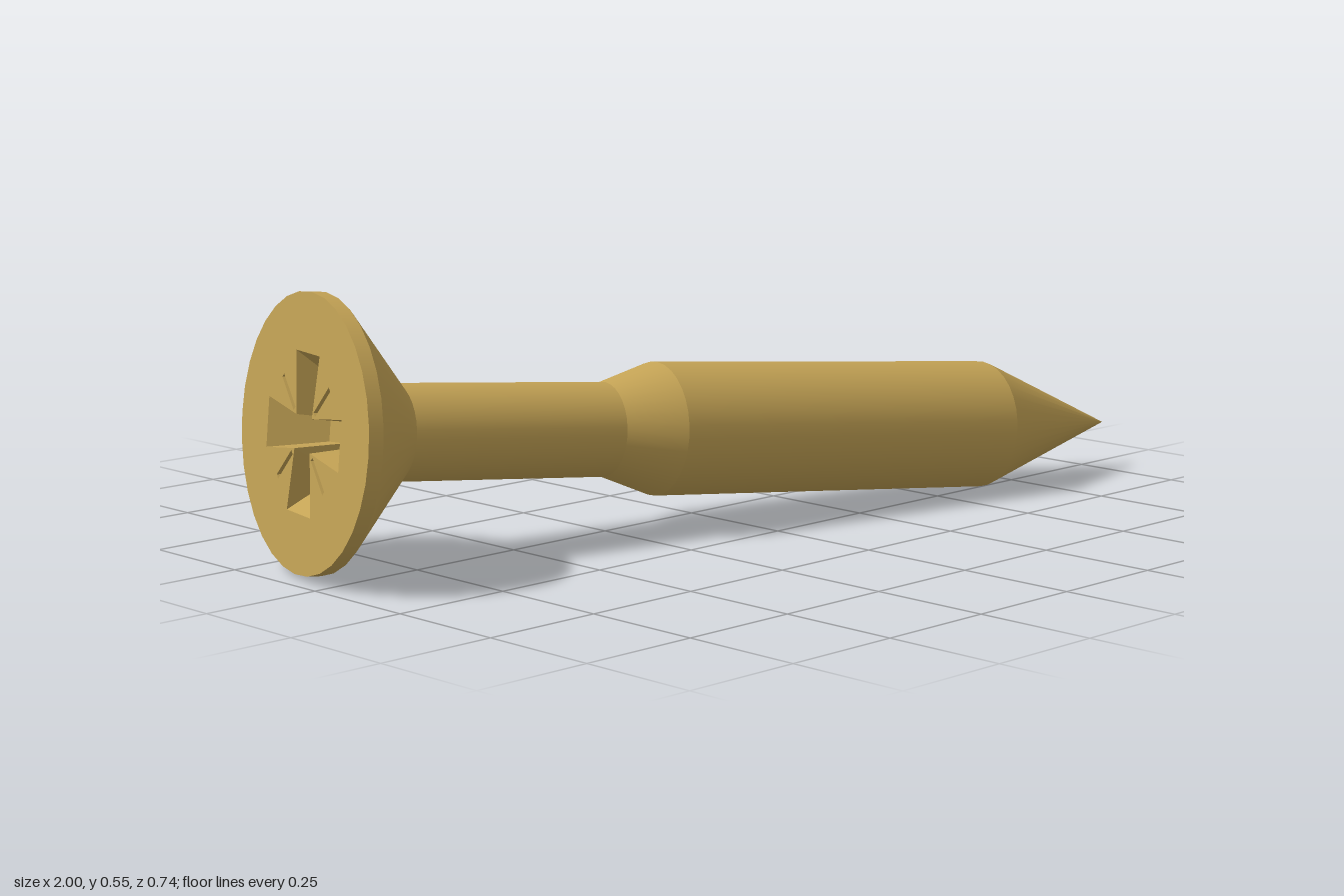
import * as THREE from 'three';
import { mergeGeometries } from 'three/addons/utils/BufferGeometryUtils.js';

const SEGMENTS = 32;

// Pocket below an outline: walls from the top outline to the bottom one, plus a floor
function pocket(top, bottom, depth) {
  const p = [];
  top.forEach((a, i) => {
    const j = (i + 1) % top.length, b = top[j], c = bottom[j], d = bottom[i];
    p.push(a.x, a.y, 0, b.x, b.y, 0, c.x, c.y, -depth);
    p.push(a.x, a.y, 0, c.x, c.y, -depth, d.x, d.y, -depth);
  });
  const walls = new THREE.BufferGeometry();
  walls.setAttribute('position', new THREE.Float32BufferAttribute(p, 3));
  walls.computeVertexNormals();
  const floor = new THREE.ShapeGeometry(new THREE.Shape(bottom)).toNonIndexed();
  floor.deleteAttribute('uv');
  floor.translate(0, 0, -depth);
  return mergeGeometries([walls, floor]);
}

// Four flared arms, listed counter-clockwise
function crossOutline(reach, outer, inner) {
  const pts = [];
  for (let k = 0; k < 4; k++) {
    const a = k * Math.PI / 2, o = new THREE.Vector2();
    for (const [x, y] of [[inner, -inner], [reach, -outer], [reach, outer]]) {
      pts.push(new THREE.Vector2(x, y).rotateAround(o, a));
    }
  }
  return pts;
}

export function createModel() {
  const brass = new THREE.MeshStandardMaterial({ color: 0xc4a355 });
  brass.name = 'brass';
  const screw = new THREE.Group();
  screw.name = 'screw';
  const add = (name, geometry) => {
    const mesh = new THREE.Mesh(geometry, brass);
    mesh.name = name;
    screw.add(mesh);
  };

  // Turned body along +z: name, start, end, start radius, end radius
  const sections = [
    ['headRim', 0, 0.03, 0.272, 0.272],
    ['headCone', 0.03, 0.194, 0.272, 0.096],
    ['neck', 0.194, 0.669, 0.096, 0.096],
    ['shoulder', 0.669, 0.79, 0.096, 0.137],
    ['shank', 0.79, 1.634, 0.137, 0.137],
    ['tip', 1.634, 1.99, 0.137, 0],
  ];
  for (const [name, z0, z1, r0, r1] of sections) {
    const g = new THREE.CylinderGeometry(r1, r0, z1 - z0, SEGMENTS, 1, true);
    g.rotateX(Math.PI / 2).translate(0, 0, (z0 + z1) / 2);
    add(name, g);
  }

  // Drive recess and the diagonal tick grooves
  const cross = crossOutline(0.155, 0.05, 0.033);
  const crossFloor = crossOutline(0.085, 0.03, 0.024);
  const ticks = [0, 1, 2, 3].map((k) => {
    const a = Math.PI / 4 + k * Math.PI / 2, o = new THREE.Vector2();
    return [[0.06, -0.005], [0.14, -0.005], [0.14, 0.005], [0.06, 0.005]]
      .map(([x, y]) => new THREE.Vector2(x, y).rotateAround(o, a));
  });

  // Flat head face with the recess cut out
  const disc = new THREE.Shape(Array.from({ length: SEGMENTS }, (_, i) => {
    const a = i / SEGMENTS * Math.PI * 2;
    return new THREE.Vector2(Math.cos(a) * 0.272, Math.sin(a) * 0.272);
  }));
  for (const outline of [cross, ...ticks]) disc.holes.push(new THREE.Path(outline));
  add('headFace', new THREE.ShapeGeometry(disc).rotateY(Math.PI));
  add('driveRecess', pocket(cross, crossFloor, 0.1).rotateY(Math.PI));
  for (const t of ticks) add('tickGroove', pocket(t, t, 0.02).rotateY(Math.PI));

  // Lay the screw along its tilted axis
  screw.position.set(-0.939, 0.284, -0.105);
  screw.lookAt(1, 0.11, 0.305);

  const model = new THREE.Group();
  model.name = 'countersunkScrew';
  model.add(screw);
  return model;
}
